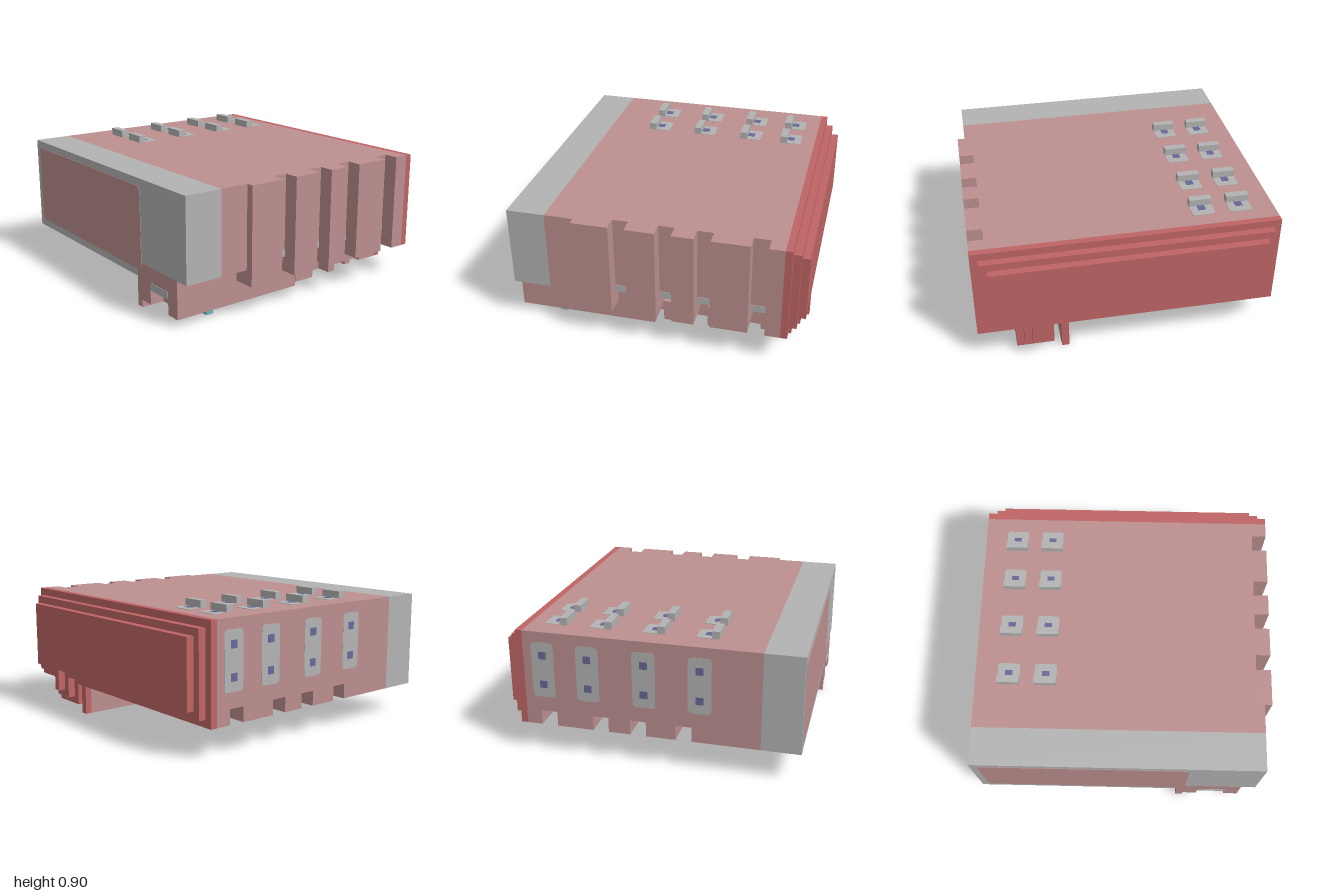
import * as THREE from 'three';

export function createModel() {
  const model = new THREE.Group();
  const mat = (name, color) => {
    const m = new THREE.MeshStandardMaterial({ color });
    m.name = name;
    return m;
  };
  const pink = mat('dusty pink', 0xbc8f8f);
  const grey = mat('light grey', 0xb3b3b3);
  const red = mat('faded red', 0xbf6565);
  const teal = mat('teal', 0x66b8b8);
  const purple = mat('slate purple', 0x686899);

  // Box given by its limits on each axis
  const box = (name, m, x0, x1, y0, y1, z0, z1) => {
    const mesh = new THREE.Mesh(new THREE.BoxGeometry(x1 - x0, y1 - y0, z1 - z0), m);
    mesh.position.set((x0 + x1) / 2, (y0 + y1) / 2, (z0 + z1) / 2);
    mesh.name = name;
    model.add(mesh);
    return mesh;
  };

  // Thin painted panel with rounded corners, facing +z before it is turned
  const panel = (name, m, w, h, r, pos, rx = 0, ry = 0, depth = 0.003) => {
    const s = new THREE.Shape();
    const a = w / 2, b = h / 2;
    s.moveTo(-a + r, -b).lineTo(a - r, -b).quadraticCurveTo(a, -b, a, -b + r);
    s.lineTo(a, b - r).quadraticCurveTo(a, b, a - r, b);
    s.lineTo(-a + r, b).quadraticCurveTo(-a, b, -a, b - r);
    s.lineTo(-a, -b + r).quadraticCurveTo(-a, -b, -a + r, -b);
    const g = new THREE.ExtrudeGeometry(s, { depth, bevelEnabled: false, curveSegments: 4 });
    const mesh = new THREE.Mesh(g, m);
    mesh.position.set(...pos);
    mesh.rotation.set(rx, ry, 0);
    mesh.name = name;
    model.add(mesh);
  };

  // Main body: grey front end, pink middle and core
  box('frontEnd', grey, -1, 0.95, 0.3, 0.85, 0.72, 0.975);
  box('frontEndBase', grey, -1, 0.4, 0.2, 0.3, 0.72, 0.975);
  box('middleBody', pink, -1, 0.95, 0.3, 0.85, 0.525, 0.72);
  box('middleBase', pink, -1, 0.4, 0.2, 0.3, 0.525, 0.72);
  box('core', pink, -1, 0.9, 0.3, 0.85, -0.83, 0.525);
  panel('frontPanel', pink, 1.4, 0.55, 0.04, [-0.25, 0.525, 0.975]);

  // Ribs that wrap the underside and the +x side
  const ribs = [[0.28, 0.525], [-0.02, 0.175], [-0.27, -0.125], [-0.62, -0.375], [-0.83, -0.73]];
  ribs.forEach(([z0, z1], i) => {
    box('sideRib', pink, 0.9, 1, 0.2, 0.85, z0, z1);
    box('bottomRib', pink, -1, 0.9, 0.2, 0.3, z0, z1);
    if (i) box('grooveStrip', grey, 0.895, 0.903, 0.3, 0.35, z1, ribs[i - 1][0]);
  });

  // Stepped back plates, each with a stub reaching down
  [0, 1, 2].forEach((i) => {
    const d = i * 0.05, z1 = -0.83 - (i ? 0.045 + (i - 1) * 0.05 : 0), z0 = -0.875 - d;
    box('backPlate', red, -1 + d, 1 - d, 0.2 + d, 0.85 - d, z0, z1);
    box('backStub', red, 0.5 + d, 0.75 - d, 0.05 + d, 0.2 + d, z0, z1);
  });

  // Long rail beneath
  box('rail', pink, 0.4, 0.45, 0, 0.3, -0.83, 0.975);
  box('railEnd', red, 0.4, 0.45, 0, 0.2, -0.875, -0.83);

  // Lower block with a front recess
  box('lowerBlockTop', pink, 0.45, 0.85, 0.15, 0.3, 0.03, 0.975);
  box('lowerBlock', pink, 0.45, 0.85, 0.05, 0.15, 0.03, 0.88);
  box('recessCheek', pink, 0.45, 0.55, 0.05, 0.15, 0.88, 0.975);
  box('recessCheek', pink, 0.75, 0.85, 0.05, 0.15, 0.88, 0.975);
  panel('recessTrim', grey, 0.2, 0.05, 0.02, [0.65, 0.175, 0.975]);
  box('tealBar', teal, 0.5, 0.8, 0, 0.05, 0.675, 0.725);

  // Toothed spine behind the lower block
  box('spine', pink, 0.55, 0.7, 0.05, 0.2, -0.83, 0.03);
  [
    [0.7, 0.8, 0.05, -0.17, -0.02], [0.45, 0.55, 0.05, -0.32, -0.17],
    [0.7, 0.8, 0.05, -0.375, -0.32], [0.7, 0.85, 0.1, -0.475, -0.425],
    [0.45, 0.55, 0.05, -0.6, -0.475], [0.7, 0.75, 0.05, -0.83, -0.67],
  ].forEach(([x0, x1, y0, z0, z1]) => box('spineTooth', pink, x0, x1, y0, 0.2, z0, z1));

  // Top knobs with grey patches and purple squares
  for (const x of [-0.775, -0.525]) {
    for (const z of [-0.58, -0.28, 0.07, 0.42]) {
      box('knob', grey, x - 0.075, x + 0.075, 0.85, 0.9, z - 0.05, z);
      panel('knobPatch', grey, 0.15, 0.15, 0.02, [x, 0.85, z - 0.075], -Math.PI / 2);
      panel('knobSquare', purple, 0.05, 0.05, 0.001, [x, 0.85, z - 0.075], -Math.PI / 2, 0, 0.005);
    }
  }

  // Port patches on the -x side
  for (const z of [-0.7, -0.4, -0.03, 0.33]) {
    panel('portPatch', grey, 0.15, 0.38, 0.03, [-0.998, 0.59, z], 0, -Math.PI / 2);
    for (const y of [0.49, 0.69]) {
      panel('port', purple, 0.05, 0.05, 0.001, [-0.998, y, z], 0, -Math.PI / 2, 0.005);
    }
  }

  // Vents on the underside
  for (const x of [-0.8, -0.35, 0.1]) {
    panel('ventPatch', grey, 0.28, 0.2, 0.04, [x, 0.2, 0.6], Math.PI / 2);
    panel('vent', purple, 0.18, 0.06, 0.001, [x, 0.2, 0.6], Math.PI / 2, 0, 0.005);
  }

  return model;
}
